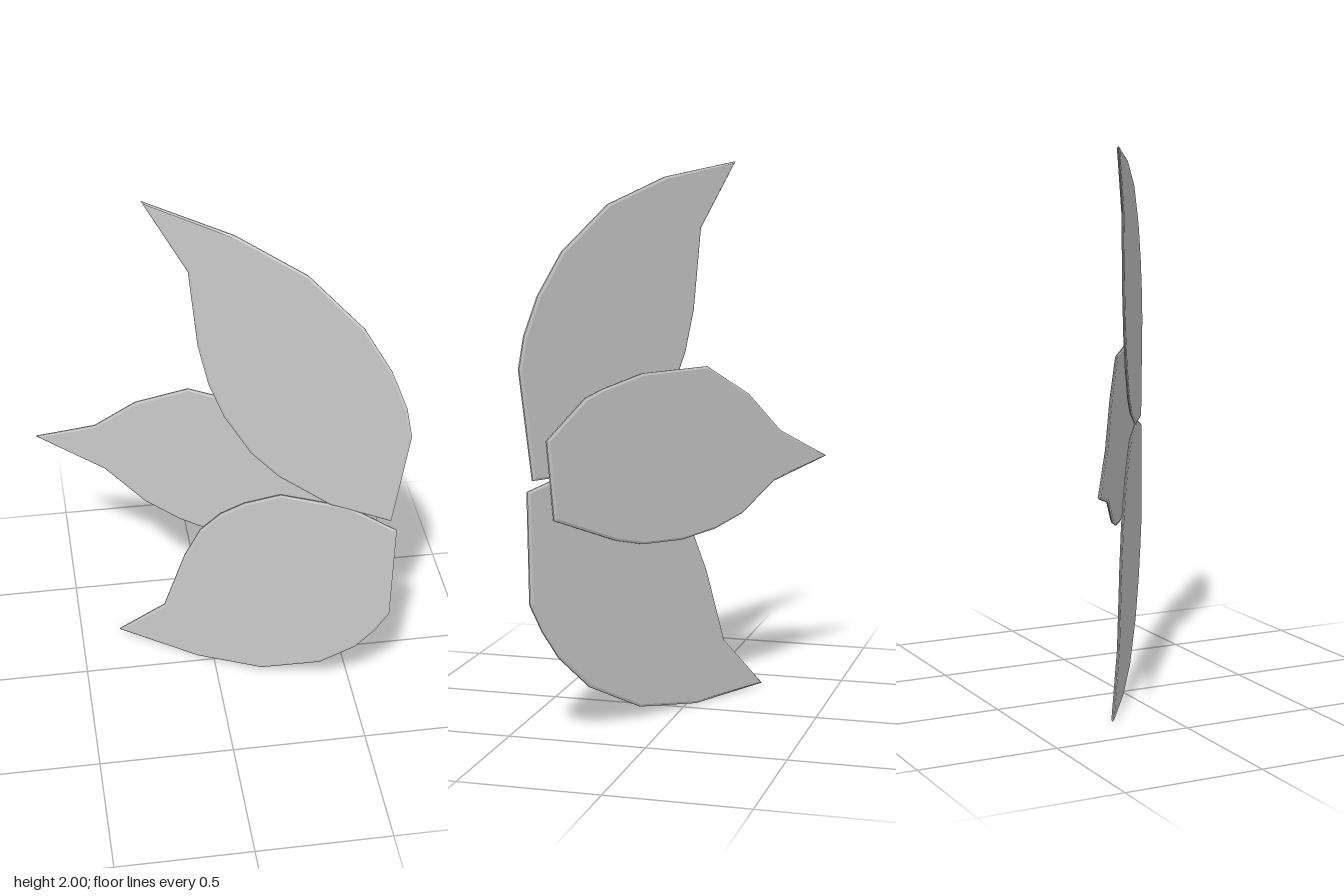
import * as THREE from 'three';

const material = new THREE.MeshStandardMaterial({ color: 0xcccccc, flatShading: true });

// A thin, bevelled leaf cut from an outline, then sheared onto a slanted plane z = slope * x + offset
function leaf(name, outline, slope, offset) {
  const shape = new THREE.Shape(outline.map(([x, y]) => new THREE.Vector2(x, y)));
  const geometry = new THREE.ExtrudeGeometry(shape, {
    depth: 0.004, bevelEnabled: true, bevelThickness: 0.004,
    bevelSize: 0.008, bevelOffset: -0.008, bevelSegments: 1,
  });
  geometry.translate(0, 0, -0.002);
  const p = geometry.attributes.position;
  for (let i = 0; i < p.count; i++) p.setZ(i, p.getZ(i) + slope * p.getX(i) + offset);
  geometry.computeVertexNormals();
  const mesh = new THREE.Mesh(geometry, material);
  mesh.name = name;
  return mesh;
}

export function createModel() {
  const group = new THREE.Group();
  group.name = 'threeLeaves';

  // Upper leaf, curving up to a point
  group.add(leaf('upperLeaf', [
    [-0.23, 2.0], [-0.085, 1.765], [-0.055, 1.47], [-0.02, 1.32], [0.03, 1.2],
    [0.12, 1.07], [0.21, 1.0], [0.38, 0.935], [0.575, 0.935], [0.62, 1.32],
    [0.6, 1.43], [0.55, 1.56], [0.46, 1.705], [0.285, 1.86], [0.06, 1.95],
  ], 0.629, 0.013));

  // Middle leaf, behind the other two and pointing sideways
  group.add(leaf('middleLeaf', [
    [-0.625, 0.865], [-0.38, 0.8], [-0.24, 0.698], [-0.12, 0.658], [0.02, 0.64],
    [0.18, 0.65], [0.285, 0.68], [0.525, 0.79], [0.55, 1.07], [0.405, 1.2],
    [0.34, 1.225], [0.18, 1.265], [-0.085, 1.265], [-0.265, 1.145], [-0.41, 0.99],
  ], 0.626, -0.012));

  // Lower leaf, curving down to a point
  group.add(leaf('lowerLeaf', [
    [-0.35, 0.015], [-0.06, 0.003], [0.17, 0.045], [0.37, 0.165], [0.485, 0.295],
    [0.545, 0.4], [0.59, 0.505], [0.595, 0.9], [0.44, 0.945], [0.22, 0.915],
    [0.1, 0.83], [0.02, 0.75], [-0.05, 0.645], [-0.105, 0.5], [-0.18, 0.22],
  ], 0.638, 0.008));

  return group;
}
